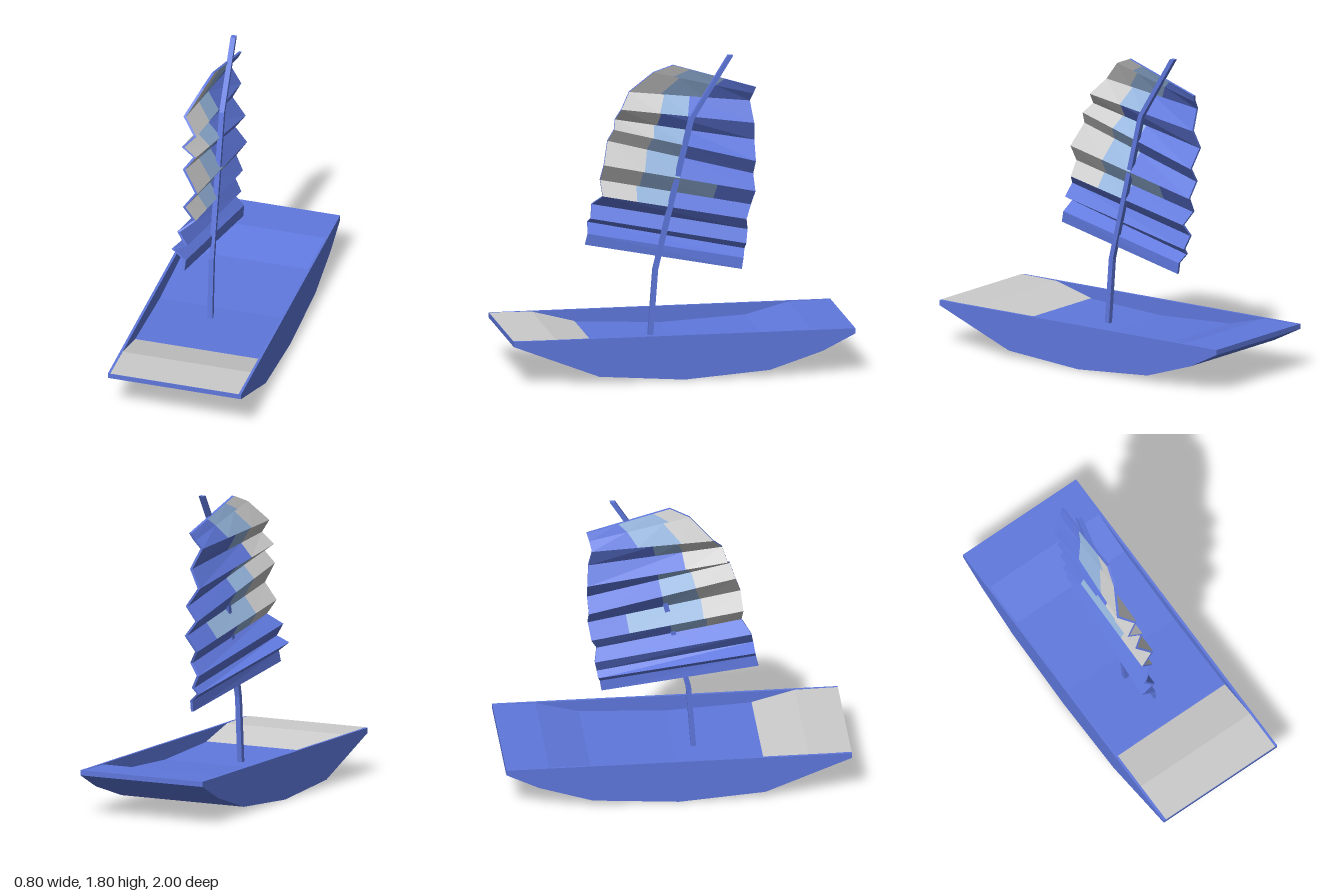
import * as THREE from 'three';

const BLUE = 0x5f78dd, SKY = 0x94b4dc, PALE = 0xcccccc;

const material = (color) =>
  new THREE.MeshStandardMaterial({ color, flatShading: true, side: THREE.DoubleSide });

// Mesh from a list of four-cornered faces
function quadMesh(name, quads, color) {
  const pos = [];
  for (const [a, b, c, d] of quads) pos.push(...a, ...b, ...c, ...a, ...c, ...d);
  const geo = new THREE.BufferGeometry();
  geo.setAttribute('position', new THREE.Float32BufferAttribute(pos, 3));
  geo.computeVertexNormals();
  const mesh = new THREE.Mesh(geo, material(color));
  mesh.name = name;
  return mesh;
}

// Side profile of [z, y] points, extruded across x
function profileMesh(name, points, width, x) {
  const shape = new THREE.Shape(points.map(([z, y]) => new THREE.Vector2(z, y)));
  const geo = new THREE.ExtrudeGeometry(shape, { depth: width, bevelEnabled: false });
  geo.translate(0, 0, -width / 2).rotateY(-Math.PI / 2).translate(x, 0, 0);
  const mesh = new THREE.Mesh(geo, material(BLUE));
  mesh.name = name;
  return mesh;
}

function createHull() {
  const hull = new THREE.Group();
  hull.name = 'hull';
  const keel = [[-1, 0.265], [-1, 0.235], [-0.81, 0.14], [-0.5, 0.04], [0, 0.003],
    [0.5, 0.04], [1, 0.235], [1, 0.265]];
  const floor = [[0.75, 0.261], [0.5, 0.195], [0, 0.17], [-0.5, 0.195], [-0.75, 0.261]];
  hull.add(profileMesh('hullBody', [...keel, ...floor], 0.77, 0));
  for (const s of [-1, 1]) hull.add(profileMesh('sideBoard', keel, 0.015, s * 0.3925));

  // Pale decking at the bow
  const w = 0.385, e = 0.002;
  const deck = [[1, 0.265], [0.75, 0.261], [0.5, 0.195]];
  const faces = [0, 1].map((i) => {
    const [[z0, y0], [z1, y1]] = [deck[i], deck[i + 1]];
    return [[-w, y0 + e, z0], [w, y0 + e, z0], [w, y1 + e, z1], [-w, y1 + e, z1]];
  });
  hull.add(quadMesh('bowDeck', faces, PALE));
  return hull;
}

// Square mast, bent at two heights
function createMast() {
  const r = 0.015, cx = -0.046;
  const rings = [[0.12, 0.16], [0.09, 0.56], [-0.12, 1.435], [-0.35, 1.805]].map(([z, y]) =>
    [[-r, -r], [r, -r], [r, r], [-r, r]].map(([dx, dz]) => [cx + dx, y, z + dz]));
  const faces = [rings[0], rings[3]];
  for (let i = 0; i < 3; i++) {
    for (let j = 0; j < 4; j++) {
      const k = (j + 1) % 4;
      faces.push([rings[i][j], rings[i][k], rings[i + 1][k], rings[i + 1][j]]);
    }
  }
  return quadMesh('mast', faces, BLUE);
}

function createSail() {
  const sail = new THREE.Group();
  sail.name = 'sail';
  // Pleat folds from top to bottom: front end [x, y, z], back end [x, y, z]
  const folds = [
    [[-0.07, 1.755, -0.02], [-0.05, 1.61, -0.5]],
    [[-0.10, 1.71, 0.09], [-0.07, 1.57, -0.488]],
    [[-0.17, 1.585, 0.22], [-0.11, 1.52, -0.475]],
    [[-0.09, 1.50, 0.28], [-0.05, 1.40, -0.49]],
    [[-0.155, 1.43, 0.305], [-0.105, 1.29, -0.5]],
    [[-0.08, 1.385, 0.325], [-0.025, 1.18, -0.495]],
    [[-0.135, 1.31, 0.353], [-0.085, 1.095, -0.49]],
    [[-0.05, 1.185, 0.39], [-0.015, 1.005, -0.49]],
    [[-0.12, 1.085, 0.40], [-0.075, 0.915, -0.475]],
    [[-0.06, 1.00, 0.395], [-0.025, 0.84, -0.44]],
    [[-0.14, 0.94, 0.445], [-0.075, 0.77, -0.455]],
    [[-0.09, 0.865, 0.46], [-0.035, 0.695, -0.44]],
    [[-0.168, 0.83, 0.465], [-0.065, 0.66, -0.435]],
    [[-0.095, 0.775, 0.475], [-0.013, 0.615, -0.42]],
    [[-0.1, 0.71, 0.49], [-0.013, 0.55, -0.41]],
  ];
  // Where pale turns to sky and sky turns to blue along each pleat
  const splits = [[0.2, 0.62], [0.26, 0.62], [0.29, 0.5], [0.3, 0.3], [0.28, 0.5], [0.27, 0.5],
    [0.27, 0.5], [0.26, 0.75], [0.24, 0.48]];
  const t = 0.008;
  const at = ([a, b], s, dx) => a.map((v, i) => v + (b[i] - v) * s + (i ? 0 : dx));
  const parts = { [PALE]: [], [SKY]: [], [BLUE]: [] };

  for (let i = 0; i < folds.length - 1; i++) {
    const [p, q] = [folds[i], folds[i + 1]];
    const [g, b] = splits[i] || [0, 0];
    for (const [s0, s1, color] of [[0, g, PALE], [g, b, SKY], [b, 1, BLUE]]) {
      if (s1 <= s0) continue;
      for (const dx of [-t, t]) {
        parts[color].push([at(p, s0, dx), at(p, s1, dx), at(q, s1, dx), at(q, s0, dx)]);
      }
    }
    // Thin front and back edges
    for (const s of [0, 1]) parts[BLUE].push([at(p, s, -t), at(p, s, t), at(q, s, t), at(q, s, -t)]);
  }
  // Thin top and bottom edges
  for (const f of [folds[0], folds[folds.length - 1]]) {
    parts[BLUE].push([at(f, 0, -t), at(f, 0, t), at(f, 1, t), at(f, 1, -t)]);
  }
  sail.add(quadMesh('sailPalePanels', parts[PALE], PALE));
  sail.add(quadMesh('sailSkyPanels', parts[SKY], SKY));
  sail.add(quadMesh('sailBluePanels', parts[BLUE], BLUE));
  return sail;
}

export function createModel() {
  const boat = new THREE.Group();
  boat.name = 'sailboat';
  boat.add(createHull(), createMast(), createSail());
  return boat;
}
